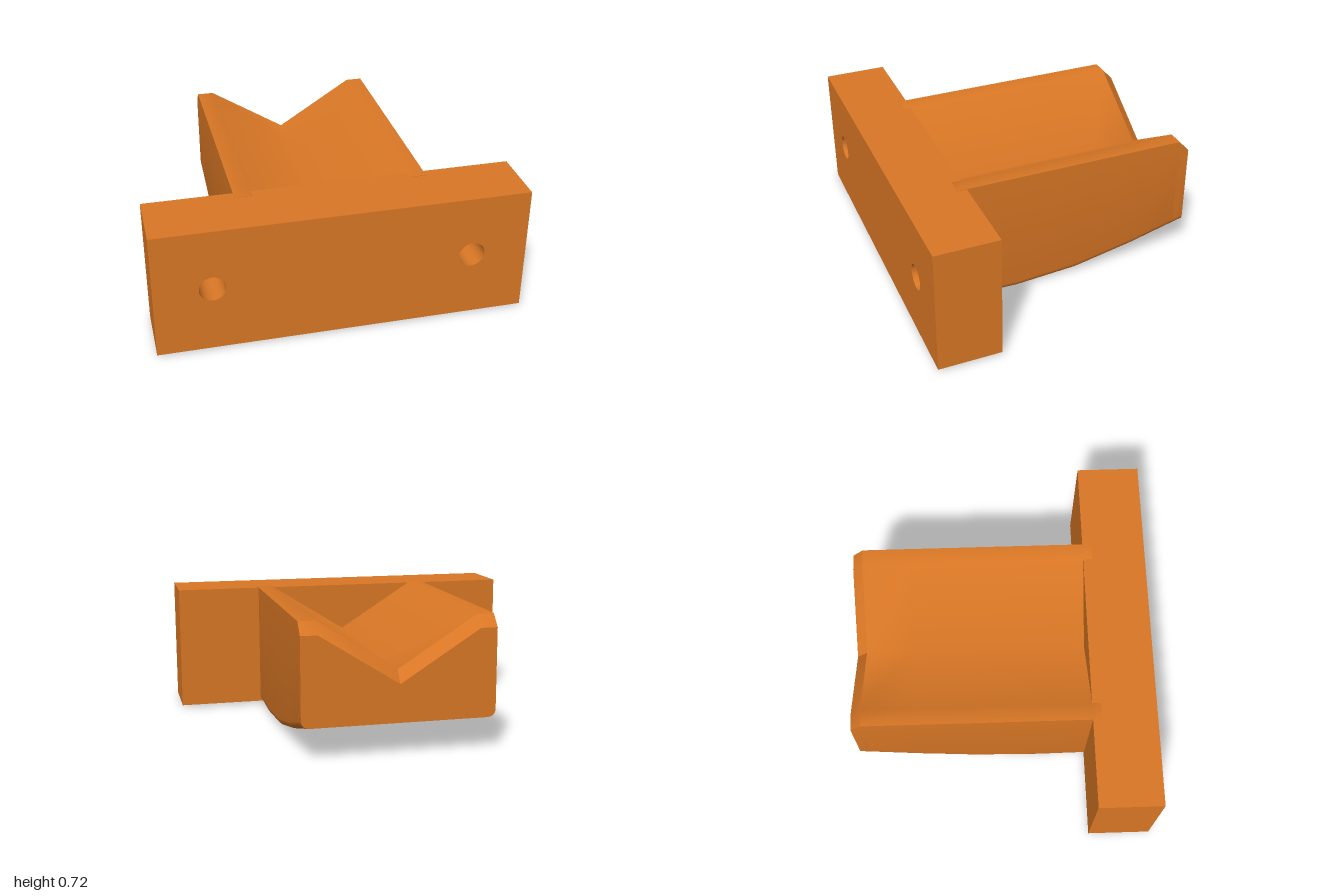
import * as THREE from 'three';
import { toCreasedNormals } from 'three/addons/utils/BufferGeometryUtils.js';

const HALF = 0.52, GROOVE = 0.43, TOP = 0.722, VALLEY = 0.45, ROUND = 0.04;

// Arm cross-section, counterclockwise: rounded bottom corners, V-groove on top
function section(bottom, drop) {
  const pts = [];
  for (const side of [-1, 1]) {
    for (let i = 0; i <= 4; i++) {
      const a = (side < 0 ? Math.PI : Math.PI * 1.5) + (i / 4) * Math.PI / 2;
      pts.push(new THREE.Vector2(
        side * (HALF - ROUND) + ROUND * Math.cos(a),
        bottom + ROUND + ROUND * Math.sin(a)));
    }
  }
  for (const [x, y] of [[HALF, TOP], [GROOVE, TOP], [0, VALLEY], [-GROOVE, TOP], [-HALF, TOP]]) {
    pts.push(new THREE.Vector2(x, y - drop));
  }
  return pts;
}

// Skin between stations [z, bottom, drop] listed front to back
function loft(stations, capFront, capBack, crease) {
  const rings = stations.map(([, bottom, drop]) => section(bottom, drop));
  const n = rings[0].length, last = rings.length - 1;
  const pos = [], idx = [];
  rings.forEach((ring, s) => ring.forEach(p => pos.push(p.x, p.y, stations[s][0])));
  for (let s = 0; s < last; s++) {
    for (let i = 0; i < n; i++) {
      const j = (i + 1) % n, a = s * n, b = a + n;
      idx.push(a + i, b + i, b + j, a + i, b + j, a + j);
    }
  }
  if (capFront) {
    for (const f of THREE.ShapeUtils.triangulateShape(rings[0], [])) idx.push(...f);
  }
  if (capBack) {
    for (const [a, b, c] of THREE.ShapeUtils.triangulateShape(rings[last], [])) {
      idx.push(last * n + a, last * n + c, last * n + b);
    }
  }
  const g = new THREE.BufferGeometry();
  g.setAttribute('position', new THREE.Float32BufferAttribute(pos, 3));
  g.setIndex(idx);
  return toCreasedNormals(g, crease);
}

export function createModel() {
  const group = new THREE.Group();
  const material = new THREE.MeshStandardMaterial({ color: 0xd97725 });
  const add = (name, geometry, parent = group) => {
    const mesh = new THREE.Mesh(geometry, material);
    mesh.name = name;
    parent.add(mesh);
    return mesh;
  };

  // Mounting plate: drilled front layer on a solid back layer (blind screw holes)
  const plate = new THREE.Group();
  plate.name = 'mountingPlate';
  group.add(plate);
  const y0 = 0.012, y1 = 0.72, zBack = 0.48, zFloor = 0.58, zFront = 0.83;
  const face = new THREE.Shape([
    new THREE.Vector2(-1, y0), new THREE.Vector2(1, y0),
    new THREE.Vector2(1, y1), new THREE.Vector2(-1, y1)]);
  for (const side of [-1, 1]) {
    face.holes.push(new THREE.Path().absarc(side * 0.695, 0.38, 0.07, 0, Math.PI * 2, true));
  }
  const drilled = new THREE.ExtrudeGeometry(face, {
    depth: zFront - zFloor, bevelEnabled: false, curveSegments: 24 });
  drilled.translate(0, 0, zFloor);
  add('drilledFront', toCreasedNormals(drilled, 0.6), plate);
  add('plateBack', new THREE.BoxGeometry(2, y1 - y0, zFloor - zBack), plate)
    .position.set(0, (y0 + y1) / 2, (zFloor + zBack) / 2);

  // Grooved arm with a curved belly, rooted slightly inside the plate
  add('groovedArm', loft([
    [0.53, 0.012, 0], [0.48, 0.01, 0], [0.2, 0, 0], [-0.16, 0.025, 0],
    [-0.5, 0.095, 0], [-0.77, 0.165, 0]], true, false, 1.2));

  // Chamfered tip, following the groove down
  add('chamferedTip', loft([[-0.77, 0.165, 0], [-0.83, 0.18, 0.065]], false, true, 0.6));

  return group;
}
